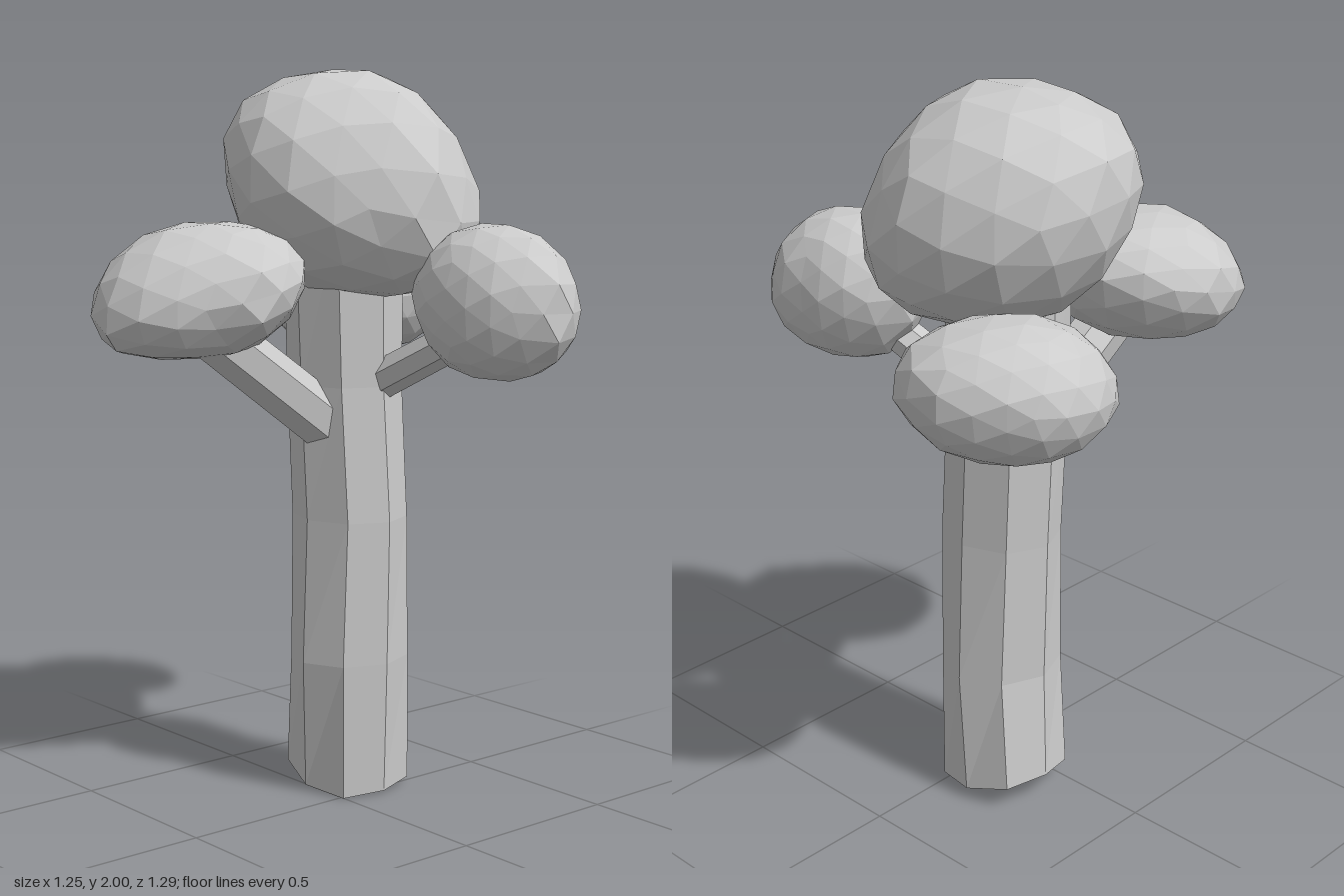
import * as THREE from 'three';

const material = new THREE.MeshStandardMaterial({ color: 0xcccccc, flatShading: true, roughness: 0.9 });
const openMaterial = material.clone();
openMaterial.side = THREE.DoubleSide;

function addMesh(group, name, geometry, surface = material) {
  geometry.computeVertexNormals();
  const mesh = new THREE.Mesh(geometry, surface);
  mesh.name = name;
  group.add(mesh);
}

// Faceted blob: plan = 12 radii every 30 degrees from +x towards +z,
// up/down = half heights, tilt = rise of the waist per unit of x and z.
function foliage({ centre, plan, up, down, tilt }) {
  const geometry = new THREE.IcosahedronGeometry(1, 2);
  const pos = geometry.attributes.position;
  const v = new THREE.Vector3();
  for (let i = 0; i < pos.count; i++) {
    v.fromBufferAttribute(pos, i).normalize();
    const turn = ((Math.atan2(v.z, v.x) / (Math.PI * 2) + 1) % 1) * 12;
    const k = Math.floor(turn) % 12;
    const radius = THREE.MathUtils.lerp(plan[k], plan[(k + 1) % 12], turn - Math.floor(turn));
    const h = Math.max(Math.hypot(v.x, v.z), 0.01);
    const fullness = v.y < 0 ? h ** -0.12 : 1; // underside is broader
    const wobble = 1.02 + 0.02 * Math.sin(v.x * 7 + centre[0] * 9) * Math.cos(v.z * 6 + v.y * 5);
    const x = v.x * radius * fullness * wobble;
    const z = v.z * radius * fullness * wobble;
    const y = v.y * (v.y > 0 ? up : down) + (tilt[0] * x + tilt[1] * z) * h;
    pos.setXYZ(i, centre[0] + x, centre[1] + y, centre[2] + z);
  }
  return geometry;
}

// Gently bent eight-sided trunk, open below, with a slanted, squarer foot
function trunk() {
  const rings = [ // x, z, y, x radius, z radius
    [-0.113, -0.118, 0, 0.158, 0.154],
    [-0.087, -0.103, 0.38, 0.16, 0.168],
    [-0.086, -0.102, 0.78, 0.169, 0.152],
    [-0.102, -0.097, 1.15, 0.164, 0.154],
    [-0.095, -0.086, 1.6, 0.165, 0.167],
  ];
  const geometry = new THREE.CylinderGeometry(1, 1, 4, 8, 4, true).toNonIndexed();
  const pos = geometry.attributes.position;
  for (let i = 0; i < pos.count; i++) {
    const level = Math.round(pos.getY(i) + 2);
    const [cx, cz, cy, rx, rz] = rings[level];
    const px = pos.getX(i);
    const pz = pos.getZ(i);
    const square = level === 0 ? 1 + 0.4 * (px * pz) ** 2 : 1;
    const x = cx + px * rx * square;
    const z = cz + pz * rz * square;
    const slant = level === 0 ? 0.7 * (0.045 - x) ** 2 + Math.max(0, -z) * 0.06 : 0;
    pos.setXYZ(i, x, cy + slant, z);
  }
  return geometry;
}

// Straight seven-sided branch between two points
function branch(from, to, radius) {
  const a = new THREE.Vector3(...from);
  const b = new THREE.Vector3(...to);
  const axis = b.clone().sub(a);
  const geometry = new THREE.CylinderGeometry(radius * 0.92, radius, axis.length(), 7).toNonIndexed();
  geometry.applyQuaternion(new THREE.Quaternion().setFromUnitVectors(
    new THREE.Vector3(0, 1, 0), axis.normalize()));
  const mid = a.add(b).multiplyScalar(0.5);
  return geometry.translate(mid.x, mid.y, mid.z);
}

export function createModel() {
  const tree = new THREE.Group();
  tree.name = 'tree';

  addMesh(tree, 'trunk', trunk(), openMaterial);

  // Branches
  addMesh(tree, 'frontBranch', branch([-0.085, 1.02, -0.05], [-0.1, 1.37, 0.44], 0.08));
  addMesh(tree, 'leftBranch', branch([0, 1.155, -0.12], [0.35, 1.33, -0.18], 0.055));
  addMesh(tree, 'backBranch', branch([-0.17, 1.12, -0.17], [-0.38, 1.33, -0.4], 0.05));

  // Foliage
  addMesh(tree, 'topFoliage', foliage({
    centre: [-0.08, 1.68, -0.1], up: 0.325, down: 0.295, tilt: [-0.22, 0.08],
    plan: [0.365, 0.3, 0.32, 0.345, 0.335, 0.355, 0.37, 0.365, 0.355, 0.36, 0.345, 0.35],
  }));
  addMesh(tree, 'frontFoliage', foliage({
    centre: [-0.17, 1.42, 0.35], up: 0.18, down: 0.177, tilt: [-0.02, -0.23],
    plan: [0.285, 0.235, 0.26, 0.29, 0.275, 0.275, 0.285, 0.27, 0.28, 0.29, 0.28, 0.28],
  }));
  addMesh(tree, 'leftFoliage', foliage({
    centre: [0.38, 1.395, -0.2], up: 0.205, down: 0.207, tilt: [-0.08, 0],
    plan: [0.24, 0.19, 0.18, 0.177, 0.19, 0.22, 0.245, 0.21, 0.19, 0.178, 0.205, 0.225],
  }));
  addMesh(tree, 'backFoliage', foliage({
    centre: [-0.4, 1.37, -0.4], up: 0.178, down: 0.18, tilt: [0, -0.08],
    plan: [0.23, 0.2, 0.2, 0.235, 0.265, 0.25, 0.23, 0.215, 0.21, 0.245, 0.275, 0.28],
  }));

  return tree;
}
